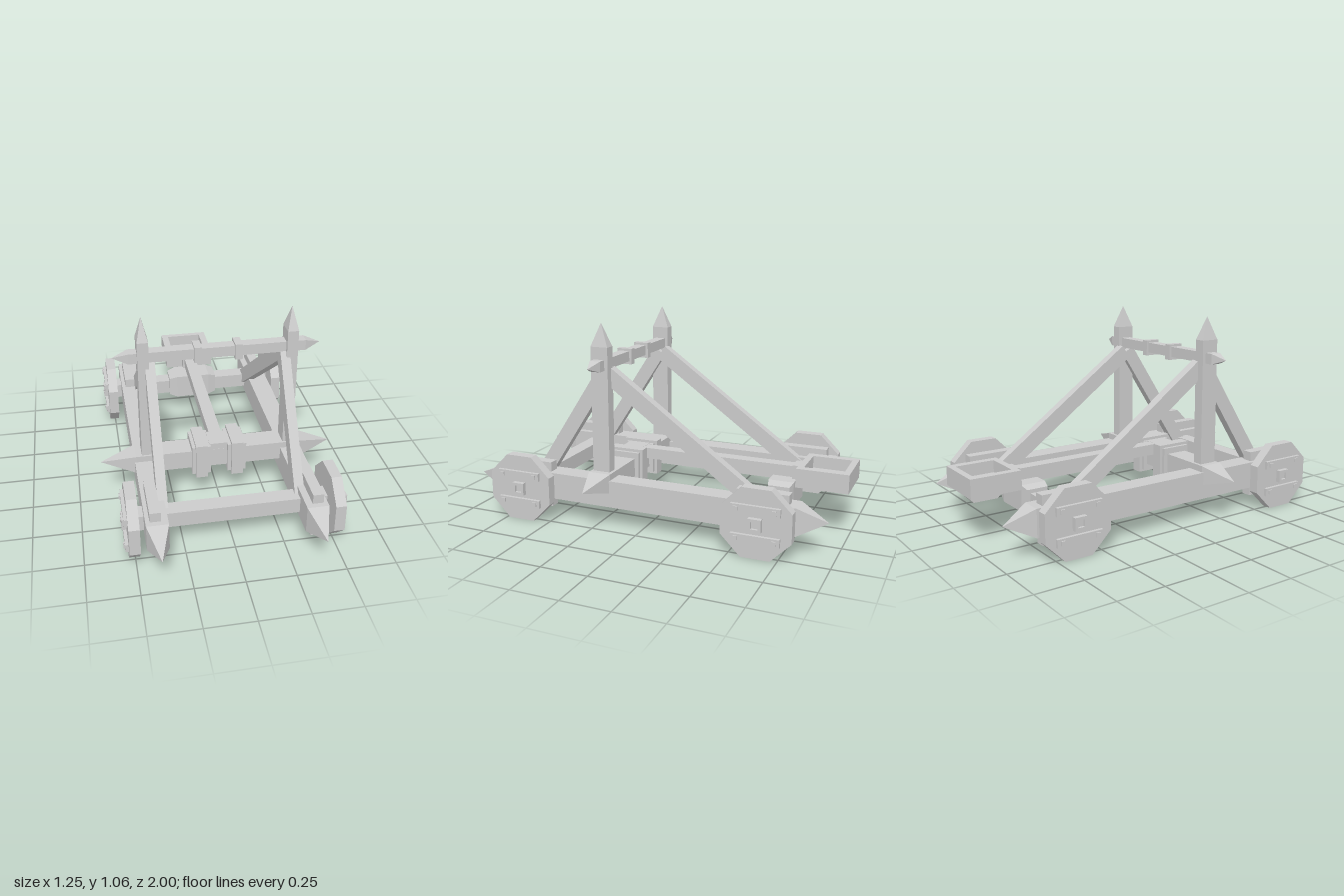
import * as THREE from 'three';

const material = new THREE.MeshStandardMaterial({ color: 0xcccccc, flatShading: true });

function add(parent, name, geometry, x = 0, y = 0, z = 0) {
  const mesh = new THREE.Mesh(geometry, material);
  mesh.name = name;
  mesh.position.set(x, y, z);
  parent.add(mesh);
  return mesh;
}

const box = (parent, name, w, h, d, x, y, z) =>
  add(parent, name, new THREE.BoxGeometry(w, h, d), x, y, z);

// Four-sided point, base at the origin, pointing up +y
function spike(w, length, d) {
  return new THREE.ConeGeometry(Math.SQRT1_2, 1, 4, 1, true)
    .rotateY(Math.PI / 4).translate(0, 0.5, 0).scale(w, length, d);
}

// Square frame with a square hole, extruded along +z
function frame(w, h, holeW, holeH, depth) {
  const rect = (Type, a, b) => new Type([
    new THREE.Vector2(-a / 2, -b / 2), new THREE.Vector2(a / 2, -b / 2),
    new THREE.Vector2(a / 2, b / 2), new THREE.Vector2(-a / 2, b / 2)]);
  const shape = rect(THREE.Shape, w, h);
  shape.holes.push(rect(THREE.Path, holeW, holeH));
  return new THREE.ExtrudeGeometry(shape, { depth, bevelEnabled: false });
}

// Square timber between two points in a plane of constant x
function brace(parent, name, x, width, thick, [y0, z0], [y1, z1]) {
  const length = Math.hypot(y1 - y0, z1 - z0);
  const mesh = box(parent, name, width, length, thick, x, (y0 + y1) / 2, (z0 + z1) / 2);
  mesh.rotation.x = Math.atan2(z1 - z0, y1 - y0);
}

// Octagonal wheel; the outer face looks along +x
function makeWheel() {
  const wheel = new THREE.Group();
  wheel.name = 'wheel';
  const disc = new THREE.CylinderGeometry(0.1915, 0.1915, 0.054, 8)
    .rotateY(Math.PI / 8).rotateZ(Math.PI / 2);
  add(wheel, 'wheelDisc', disc);
  for (const s of [-1, 1]) {
    box(wheel, 'wheelPlank', 0.018, 0.042, 0.246, 0.035, s * 0.075, 0);
    for (const t of [-1, 1]) box(wheel, 'plankStud', 0.01, 0.022, 0.022, 0.046, s * 0.075, t * 0.095);
  }
  add(wheel, 'hubFrame', frame(0.066, 0.066, 0.036, 0.036, 0.025).rotateY(Math.PI / 2), 0.026);
  box(wheel, 'axleEnd', 0.012, 0.036, 0.036, 0.031, 0, 0);
  return wheel;
}

export function createModel() {
  const model = new THREE.Group();
  model.name = 'catapult';
  const axleZ = [0.66, -0.643];
  const postZ = 0.235;

  for (const s of [-1, 1]) {
    // Long rails with pointed ends
    const rail = new THREE.Group();
    rail.name = 'sideRail';
    model.add(rail);
    box(rail, 'railBeam', 0.11, 0.143, 1.635, s * 0.393, 0.182, 0.0025);
    add(rail, 'railFrontPoint', spike(0.11, 0.175, 0.143).rotateX(Math.PI / 2), s * 0.393, 0.182, 0.82);
    add(rail, 'railBackPoint', spike(0.11, 0.148, 0.143).rotateX(-Math.PI / 2), s * 0.393, 0.182, -0.815);

    // Wheels and the blocks clamping the rail at each axle
    for (const z of axleZ) {
      const wheel = makeWheel();
      wheel.position.set(s * 0.505, 0.178, z);
      if (s < 0) wheel.rotation.y = Math.PI;
      model.add(wheel);
      box(model, 'upperRailBlock', 0.055, 0.056, 0.264, s * 0.4, 0.276, z);
      box(model, 'lowerRailBlock', 0.055, 0.056, 0.264, s * 0.4, 0.085, z);
    }

    // Upright post with pointed top
    box(model, 'post', 0.057, 0.745, 0.095, s * 0.38, 0.57, postZ);
    add(model, 'postPoint', spike(0.057, 0.12, 0.095), s * 0.38, 0.9425, postZ);

    // Diagonal braces
    brace(model, 'frontBrace', s * 0.346, 0.05, 0.078, [0.165, 0.648], [0.808, 0.229]);
    brace(model, 'backBrace', s * 0.346, 0.05, 0.085, [0.195, -0.63], [0.8, 0.216]);

    // Points of the two cross beams
    const turn = -s * Math.PI / 2;
    add(model, 'topBeamPoint', spike(0.055, 0.08, 0.058).rotateZ(turn), s * 0.453, 0.851, postZ);
    add(model, 'crossBeamPoint', spike(0.102, 0.185, 0.122).rotateZ(turn), s * 0.44, 0.236, 0.232);

    // Bands on the top beam and clamps on the lower cross beam
    box(model, 'topBeamBand', 0.038, 0.084, 0.084, s * 0.104, 0.849, postZ);
    box(model, 'crossBeamClamp', 0.1, 0.165, 0.165, s * 0.095, 0.237, 0.23);
    box(model, 'crossBeamBand', 0.062, 0.195, 0.196, s * 0.096, 0.237, 0.23);
  }

  // Axles and cross beams
  for (const z of axleZ) box(model, 'axle', 0.98, 0.083, 0.085, 0, 0.179, z);
  box(model, 'topBeam', 0.906, 0.055, 0.058, 0, 0.851, postZ);
  box(model, 'crossBeam', 0.88, 0.102, 0.122, 0, 0.236, 0.232);

  // Padded arm rest around the rear axle, narrowing at both ends
  const pad = new THREE.BoxGeometry(0.29, 0.14, 0.135, 3, 1, 1);
  const p = pad.attributes.position;
  for (let i = 0; i < p.count; i++) {
    if (Math.abs(p.getX(i)) > 0.1) {
      p.setY(i, p.getY(i) * 0.78);
      p.setZ(i, p.getZ(i) * 0.84);
    } else p.setX(i, Math.sign(p.getX(i)) * 0.1);
  }
  add(model, 'armRest', pad, 0, 0.185, -0.645);

  // Throwing arm with an open box at its end
  box(model, 'throwingArm', 0.068, 0.06, 0.96, 0, 0.291, -0.25);
  box(model, 'armCollar', 0.09, 0.075, 0.045, 0, 0.291, -0.71);
  box(model, 'armSocket', 0.1, 0.1, 0.12, 0, 0.272, 0.232);
  add(model, 'bucketWalls', frame(0.285, 0.27, 0.205, 0.205, 0.1).rotateX(-Math.PI / 2), 0, 0.246, -0.865);
  box(model, 'bucketFloor', 0.22, 0.035, 0.22, 0, 0.2645, -0.865);

  return model;
}
